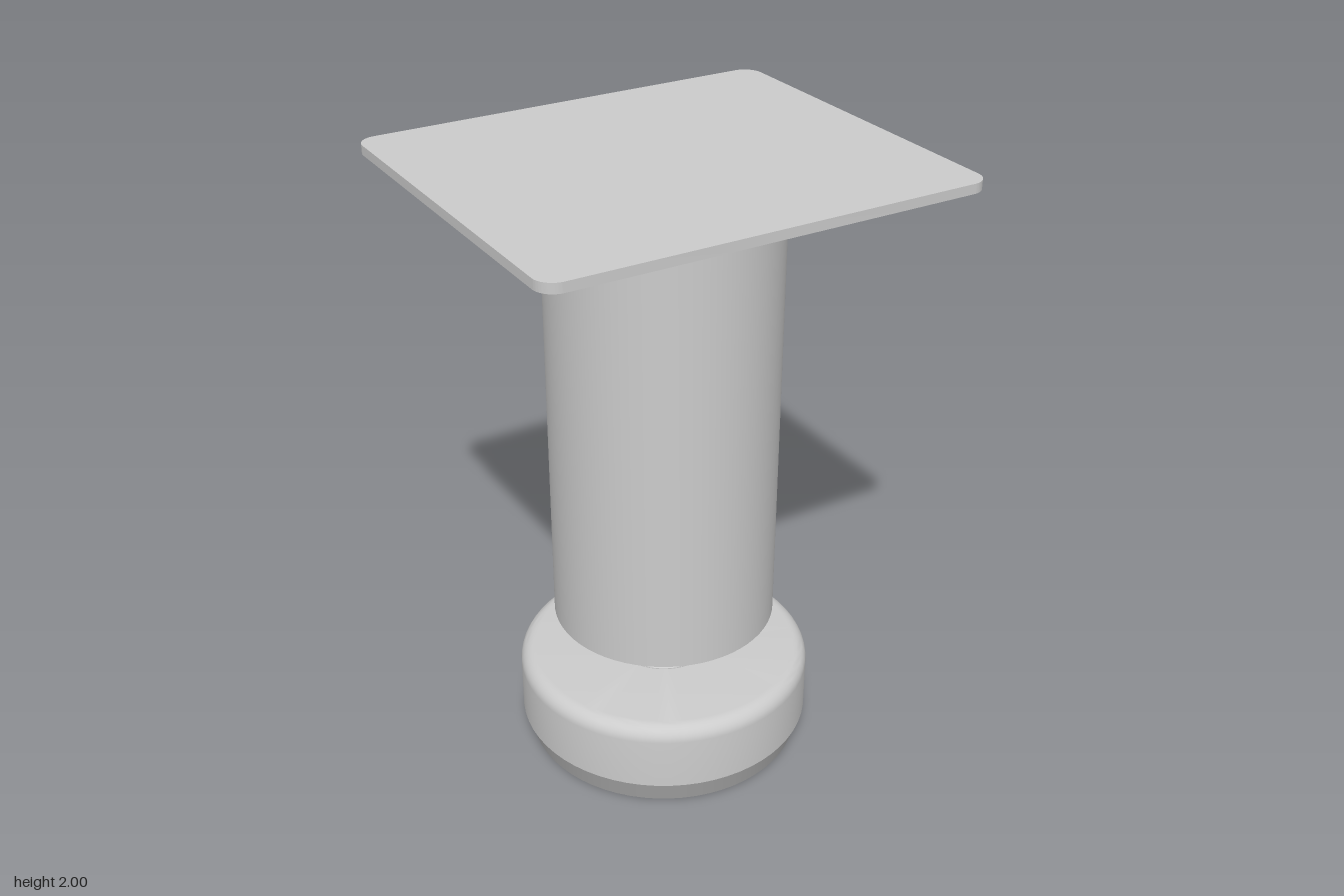
import * as THREE from 'three';
import { toCreasedNormals } from 'three/addons/utils/BufferGeometryUtils.js';

const SEG = 64;
const grey = new THREE.MeshStandardMaterial({ color: 0xcccccc });
const darkGrey = new THREE.MeshStandardMaterial({ color: 0x999999 });

export function createModel() {
  const group = new THREE.Group();

  const add = (name, geometry, material = grey) => {
    const mesh = new THREE.Mesh(geometry, material);
    mesh.name = name;
    group.add(mesh);
    return mesh;
  };

  // Upright cylinder or prism between two heights
  const post = (name, radius, y0, y1, sides = SEG, material = grey) => {
    const geometry = new THREE.CylinderGeometry(radius, radius, y1 - y0, sides);
    add(name, sides < 12 ? toCreasedNormals(geometry, 0.5) : geometry, material)
      .position.y = (y0 + y1) / 2;
  };

  // Turned part from a bottom-to-top profile, with sharp edges kept
  const turned = (name, profile) => add(name, toCreasedNormals(
    new THREE.LatheGeometry(profile.map(([x, y]) => new THREE.Vector2(x, y)), SEG), 0.5));

  // Profile points along an arc
  const arc = (cx, cy, r, a0, a1, n = 8) => Array.from({ length: n + 1 }, (_, i) => {
    const a = a0 + (a1 - a0) * i / n;
    return [cx + r * Math.cos(a), cy + r * Math.sin(a)];
  });

  // Mounting plate with rounded corners
  const w = 0.695, d = 0.605, r = 0.06;
  const outline = new THREE.Shape();
  outline.absarc(w - r, d - r, r, 0, Math.PI / 2);
  outline.absarc(-w + r, d - r, r, Math.PI / 2, Math.PI);
  outline.absarc(-w + r, -d + r, r, Math.PI, Math.PI * 1.5);
  outline.absarc(w - r, -d + r, r, Math.PI * 1.5, Math.PI * 2);
  const plate = new THREE.ExtrudeGeometry(outline, { depth: 0.03, bevelEnabled: false, curveSegments: 10 });
  plate.rotateX(-Math.PI / 2).translate(0, 1.97, 0);
  add('mountingPlate', toCreasedNormals(plate, 0.5));

  // Leg tube with a plug set just inside its lower end
  turned('legTube', [[0.34, 0.48], [0.34, 0.465], [0.362, 0.465], [0.362, 1.97]]);
  post('tubePlug', 0.34, 0.468, 0.52);

  // Levelling stud and hexagonal nut
  post('levellingStud', 0.07, 0.33, 0.475);
  post('lockNut', 0.118, 0.355, 0.425, 6);

  // Domed collar
  turned('collar', [
    [0.167, 0.295], [0.167, 0.308], [0.155, 0.322], [0.135, 0.338], [0.112, 0.35], [0.085, 0.356], [0, 0.356],
  ]);

  // Foot body with a rounded upper rim, on a darker pad
  turned('footBody', [
    [0, 0.08], [0.481, 0.08], ...arc(0.431, 0.255, 0.05, 0, Math.PI / 2), [0, 0.305],
  ]);
  post('footPad', 0.452, 0, 0.085, SEG, darkGrey);

  return group;
}
